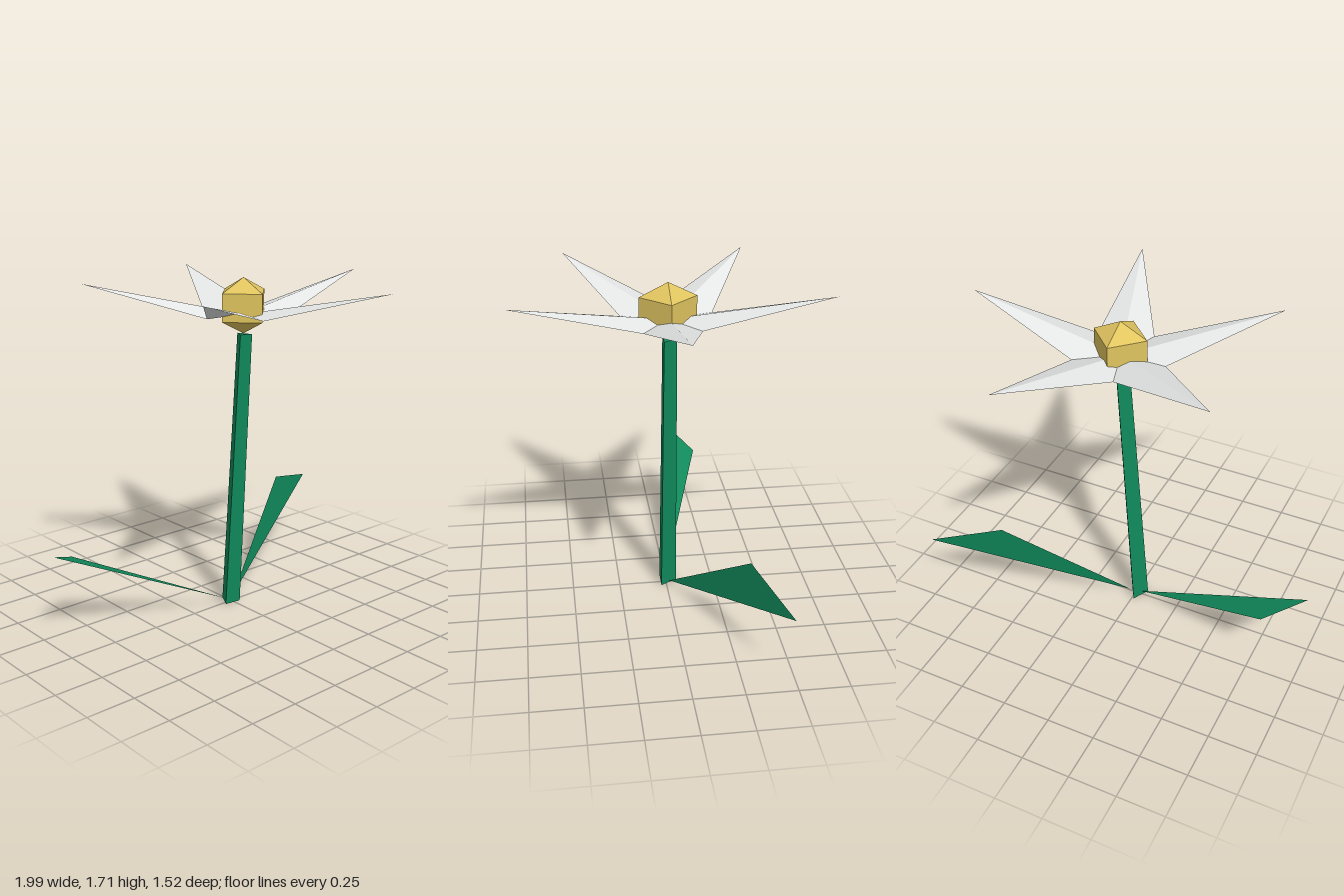
import * as THREE from 'three';

function material(name, color, doubleSided) {
  const m = new THREE.MeshStandardMaterial({ color, flatShading: true });
  m.name = name;
  if (doubleSided) m.side = THREE.DoubleSide;
  return m;
}

// Sheet made of triangles, three corners each
function sheet(name, corners, mat) {
  const geo = new THREE.BufferGeometry();
  geo.setAttribute('position', new THREE.Float32BufferAttribute(corners.flat(), 3));
  geo.computeVertexNormals();
  const mesh = new THREE.Mesh(geo, mat);
  mesh.name = name;
  return mesh;
}

export function createModel() {
  const green = material('leafGreen', 0x10895b, true);
  const white = material('petalWhite', 0xe6e8e8, true);
  const yellow = material('pollenYellow', 0xe0c45f, false);
  const model = new THREE.Group();
  model.name = 'flower';

  // Leaning three-sided stem, flat side to the front
  const foot = new THREE.Vector3(-0.013, 0.004, 0);
  const head = new THREE.Vector3(0.08, 1.425, 0);
  const axis = head.clone().sub(foot);
  const stemGeo = new THREE.CylinderGeometry(0.045, 0.056, axis.length(), 3);
  stemGeo.rotateY(Math.PI);
  const stem = new THREE.Mesh(stemGeo, green);
  stem.name = 'stem';
  stem.position.copy(foot).add(head).multiplyScalar(0.5);
  stem.quaternion.setFromUnitVectors(new THREE.Vector3(0, 1, 0), axis.normalize());
  model.add(stem);

  // Two triangular leaves
  model.add(sheet('leftLeaf', [[0.03, 0.025, -0.015], [0.99, 0.385, -0.47], [0.63, 0.478, -0.33]], green));
  model.add(sheet('rightLeaf', [[-0.03, 0.02, 0], [-0.81, 0.385, -0.265], [-1, 0.475, -0.125]], green));

  // Blossom: five petals folded along a raised ridge
  const blossom = new THREE.Group();
  blossom.name = 'blossom';
  blossom.position.set(0.08, 1.525, 0);
  const a = Math.PI / 5;
  const cx = 0.236 * Math.cos(a), cz = 0.236 * Math.sin(a);
  const heart = [0, 0, 0], tip = [0.8, 0.16, 0];
  for (let i = 0; i < 5; i++) {
    const petal = sheet('petal', [heart, tip, [cx, 0, -cz], heart, [cx, 0, cz], tip], white);
    petal.rotation.y = i * 2 * a;
    blossom.add(petal);
  }

  // Four-sided centre with pointed top and bottom
  const profile = [[0, -0.14], [0.14, -0.07], [0.14, 0.07], [0, 0.14]];
  const centre = new THREE.Mesh(
    new THREE.LatheGeometry(profile.map(([x, y]) => new THREE.Vector2(x, y)), 4), yellow);
  centre.name = 'flowerCentre';
  centre.position.y = 0.043;
  blossom.add(centre);
  model.add(blossom);
  return model;
}
